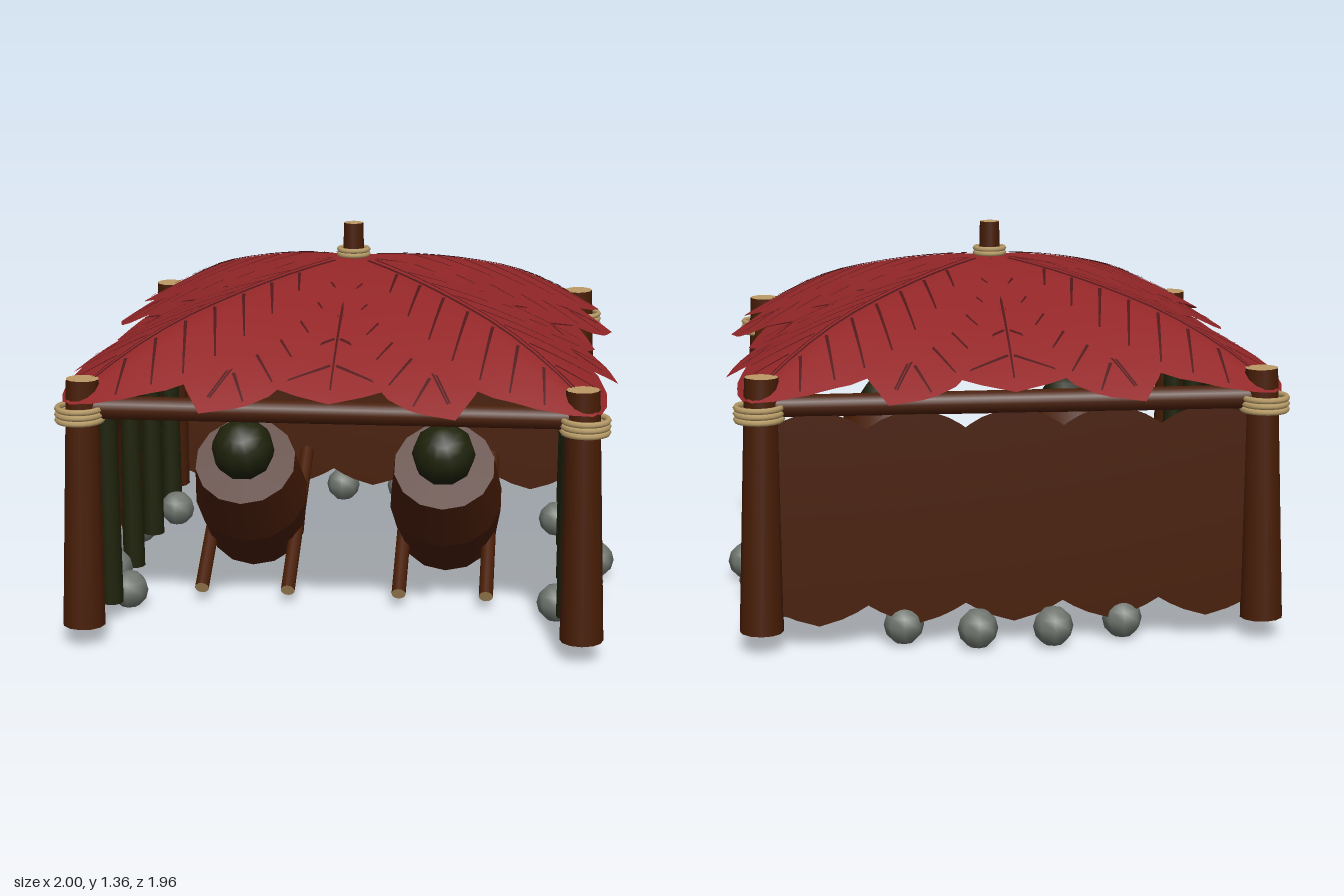
import * as THREE from 'three';
import { mergeGeometries } from 'three/addons/utils/BufferGeometryUtils.js';

const mat = (name, color, side = THREE.FrontSide) => {
  const m = new THREE.MeshStandardMaterial({ color, side });
  m.name = name;
  return m;
};

export function createModel() {
  const model = new THREE.Group();
  model.name = 'leafHut';
  const wood = mat('wood', 0x481d05);
  const cut = mat('cutWood', 0xbd9a66);
  const rope = mat('rope', 0xb89c68);
  const green = mat('darkGreen', 0x1e2209);
  const stone = mat('stone', 0x70766f);
  const red = mat('redLeaf', 0x932628, THREE.DoubleSide);
  const redVein = mat('redVein', 0x4e1517, THREE.DoubleSide);
  const brown = mat('brownLeaf', 0x481d05, THREE.DoubleSide);
  const brownVein = mat('brownVein', 0x241004, THREE.DoubleSide);

  const add = (name, geo, material, parent = model) => {
    const m = new THREE.Mesh(geo, material);
    m.name = name;
    parent.add(m);
    return m;
  };
  // round bar from a (radius ra) to b (radius rb)
  const bar = (name, a, b, ra, rb, material) => {
    const A = new THREE.Vector3(...a), B = new THREE.Vector3(...b), d = B.clone().sub(A);
    const m = add(name, new THREE.CylinderGeometry(rb, ra, d.length(), 12), material);
    m.position.copy(A).add(B).multiplyScalar(0.5);
    m.quaternion.setFromUnitVectors(new THREE.Vector3(0, 1, 0), d.normalize());
  };
  const ring = (name, x, y, z, r, tube) => {
    const m = add(name, new THREE.TorusGeometry(r, tube, 6, 20), rope);
    m.rotation.x = Math.PI / 2;
    m.position.set(x, y, z);
  };

  // surface from a rule f(i, j) returning a point, i and j in 0..1
  const sheet = (f, ni, nj) => {
    const pos = [], idx = [];
    for (let i = 0; i <= ni; i++) for (let j = 0; j <= nj; j++) pos.push(...f(i / ni, j / nj));
    for (let i = 0; i < ni; i++) for (let j = 0; j < nj; j++) {
      const a = i * (nj + 1) + j, b = a + nj + 1;
      idx.push(a, a + 1, b, b, a + 1, b + 1);
    }
    const g = new THREE.BufferGeometry();
    g.setAttribute('position', new THREE.Float32BufferAttribute(pos, 3));
    g.setIndex(idx);
    g.computeVertexNormals();
    return g;
  };
  // half width of a leaf at t, from [t, width] pairs
  const widthAt = (profile, t) => {
    for (let k = 1; k < profile.length; k++) {
      const [t0, w0] = profile[k - 1], [t1, w1] = profile[k];
      if (t <= t1) return w0 + (w1 - w0) * (t - t0) / (t1 - t0);
    }
    return 0;
  };
  // map(u, v, lift) places a point of the leaf; u runs along it, v across
  const leafBlade = (map, len, profile) =>
    sheet((i, j) => map(i * len, (j * 2 - 1) * widthAt(profile, i), 0), 32, 8);
  const veinStrip = (map, u0, v0, u1, v1, width, lift) => {
    const l = Math.hypot(u1 - u0, v1 - v0), nu = -(v1 - v0) / l, nv = (u1 - u0) / l;
    return sheet((i, j) => {
      const s = (j - 0.5) * width * (1 - 0.5 * i);
      return map(u0 + (u1 - u0) * i + nu * s, v0 + (v1 - v0) * i + nv * s, lift);
    }, 10, 1);
  };
  const leafVeins = (map, len, profile, start, count, width, ribGap) => {
    const strips = [];
    for (const s of ribGap ? [-1, 1] : [0])
      strips.push(veinStrip(map, len * 0.08, s * ribGap, len * 0.94, s * ribGap * 0.4, width, 0.006));
    for (let k = 0; k < count; k++) {
      const t = start + (0.82 - start) * k / (count - 1), w = widthAt(profile, t) * 0.75;
      for (const s of [-1, 1]) {
        const u = Math.min(t * len + w * 0.65, len * 0.92);
        strips.push(veinStrip(map, t * len, s * (ribGap + 0.01), u, s * Math.min(w, widthAt(profile, u / len) * 0.85), width, 0.006));
      }
    }
    return mergeGeometries(strips);
  };

  // corner posts with rope lashings
  for (const sx of [-1, 1]) for (const sz of [-1, 1]) {
    bar('cornerPost', [sx * 0.867, 0.07, sz * 0.867], [sx * 0.85, 0.95, sz * 0.85], 0.075, 0.057, [wood, cut, cut]);
    for (const y of [0.81, 0.83, 0.85]) ring('postRope', sx * 0.86, y, sz * 0.86, 0.077, 0.0105);
  }
  // top beams
  for (const s of [-1, 1]) {
    bar('crossBeam', [-0.87, 0.85, s * 0.85], [0.87, 0.85, s * 0.85], 0.042, 0.038, wood);
    bar('sideBeam', [s * 0.85, 0.85, -0.87], [s * 0.85, 0.85, 0.87], 0.042, 0.038, wood);
  }
  // peak stub
  bar('peakPole', [0, 1.12, 0], [0, 1.36, 0], 0.042, 0.036, [wood, cut, cut]);
  for (const y of [1.243, 1.26]) ring('peakRope', 0, y, 0, 0.054, 0.0095);

  // roof of overlapping leaves that follow one curved surface, drooping at the corners
  const roofY = (x, z) => {
    const m = Math.max(Math.abs(x), Math.abs(z)), n = Math.min(Math.abs(x), Math.abs(z));
    return 1.215 - 0.1 * m - 0.255 * m * m - 0.025 * (m - n) - 0.4 * Math.max(0, n - 0.5) ** 2;
  };
  const cornerShape = [[0, 0.02], [0.12, 0.1], [0.3, 0.25], [0.45, 0.32], [0.62, 0.33], [0.81, 0.25], [0.91, 0.165], [0.97, 0.085], [1, 0.02]];
  const sideShape = [[0, 0.02], [0.25, 0.13], [0.5, 0.21], [0.7, 0.21], [0.84, 0.18], [0.92, 0.12], [1, 0]];
  const axisShape = [[0, 0.02], [0.3, 0.18], [0.6, 0.29], [0.85, 0.27], [0.95, 0.18], [1, 0]];
  const roofLeaf = (angle, len, shape, lift, veins, gap) => {
    const c = Math.cos(angle), s = Math.sin(angle);
    const map = (u, v, l) => {
      const x = u * s + v * c, z = u * c - v * s;
      return [x, roofY(x, z) + lift + l, z];
    };
    const g = new THREE.Group();
    g.name = 'roofLeaf';
    add('leafBlade', leafBlade(map, len, shape), red, g);
    add('leafVeins', leafVeins(map, len, shape, 0.22, veins, 0.012, gap), redVein, g);
    model.add(g);
  };
  for (let q = 0; q < 4; q++) {
    const a = q * Math.PI / 2;
    roofLeaf(a, 0.905, axisShape, 0, 5, 0);
    roofLeaf(a + 0.414, 1.07, sideShape, 0.009, 6, 0.01);
    roofLeaf(a - 0.414, 1.07, sideShape, 0.012, 6, 0.01);
    roofLeaf(a + Math.PI / 4, 1.27, cornerShape, 0.022, 7, 0.017);
  }

  // side walls: bowed, veined leaves over green stakes
  const wallShape = [[0, 0], [0.04, 0.065], [0.1, 0.115], [0.25, 0.165], [0.45, 0.185], [0.65, 0.18], [0.82, 0.145], [0.93, 0.085], [1, 0]];
  const backShape = [[0, 0], [0.04, 0.1], [0.1, 0.175], [0.3, 0.23], [0.7, 0.235], [0.9, 0.19], [0.96, 0.13], [1, 0.05]];
  for (const s of [-1, 1]) {
    for (let k = -2; k <= 2; k++) {
      const map = (u, v, l) =>
        [s * (0.875 + 0.04 * Math.sin(Math.PI * u / 0.71) - 0.05 * Math.abs(v) + l), 0.1 + u, k * 0.335 + v];
      add('sideWallLeaf', leafBlade(map, 0.71, wallShape), brown);
      add('sideWallVeins', leafVeins(map, 0.71, wallShape, 0.12, 6, 0.013, 0), brownVein);
    }
    for (const z of [-0.61, -0.2, 0.2, 0.61])
      bar('wallStake', [s * 0.822, 0.06, z], [s * 0.822, 0.84, z], 0.042, 0.036, green);
  }
  // back wall: broad plain leaves
  for (let k = -2; k <= 2; k++)
    add('backWallLeaf', leafBlade((u, v) => [k * 0.335 + v, 0.08 + u, -0.87], 0.745, backShape), brown);

  // tilted barrels on slanting rods, each holding a round ball
  for (const s of [-1, 1]) {
    const x = s * 0.365;
    const barrel = new THREE.Group();
    barrel.name = 'barrel';
    barrel.position.set(x, 0.365, 0.21);
    barrel.rotation.x = 0.737;
    add('barrelLower', new THREE.CylinderGeometry(0.21, 0.185, 0.225, 14), wood, barrel).position.y = -0.1125;
    add('barrelUpper', new THREE.CylinderGeometry(0.185, 0.21, 0.225, 14), wood, barrel).position.y = 0.1125;
    add('barrelBall', new THREE.SphereGeometry(0.115, 10, 8), green, barrel).position.y = 0.305;
    model.add(barrel);
    for (const r of [-0.16, 0.16])
      bar('barrelRod', [x + r, 0.055, 0.42], [x + r, 0.41, -0.22], 0.026, 0.026, [wood, cut, cut]);
  }

  // border stones along the sides and back
  const stones = [[0.13, -0.91], [0.38, -0.84], [0.78, -0.5], [0.885, -0.26], [0.93, 0], [0.885, 0.26], [0.78, 0.5]];
  for (const [x, z] of stones) for (const s of [-1, 1])
    add('borderStone', new THREE.SphereGeometry(0.07, 8, 6), stone).position.set(s * x, 0.07, z);

  return model;
}
